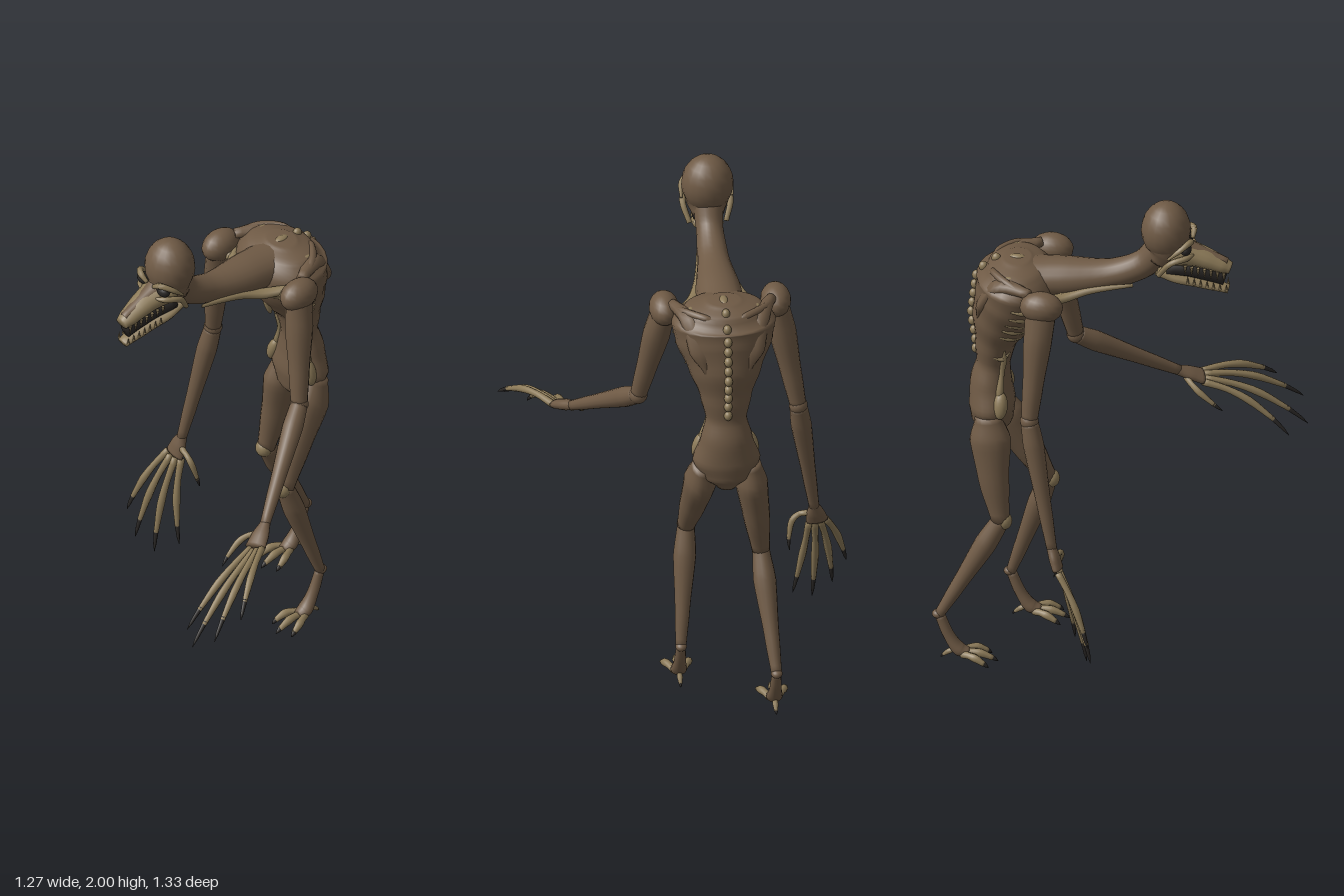
import * as THREE from 'three';

const CX = -0.133; // body centre line

export function createModel() {
  const root = new THREE.Group();
  root.name = 'gauntCreature';
  const mat = (name, color) => {
    const m = new THREE.MeshStandardMaterial({ color });
    m.name = name;
    return m;
  };
  const skin = mat('brown skin', 0x6f5a45);
  const bone = mat('tan bone', 0x8c7a58);
  const dark = mat('dark claw', 0x2a2725);

  const add = (name, geo, m, parent = root) => {
    const mesh = new THREE.Mesh(geo, m);
    mesh.name = name;
    parent.add(mesh);
    return mesh;
  };

  // Closed loft through sections [x, y, z, halfWidth, halfDepth]
  function loft(sections, sides = 14, steps = 5) {
    const curve = new THREE.CatmullRomCurve3(sections.map((s) => new THREE.Vector3(s[0], s[1], s[2])));
    const n = (sections.length - 1) * steps;
    const pos = [], idx = [];
    const side = new THREE.Vector3(), up = new THREE.Vector3(), v = new THREE.Vector3();
    for (let k = -1; k <= n + 1; k++) {
      const i = Math.min(Math.max(k, 0), n);
      const u = i / n, c = curve.getPoint(u), t = curve.getTangent(u);
      const f = u * (sections.length - 1), a = Math.min(Math.floor(f), sections.length - 2);
      const e = f - a, s = e * e * (3 - 2 * e) * 0.5 + e * 0.5;
      const size = (q) => {
        const p = sections[a], r = sections[a + 1];
        const p0 = p[q] ?? p[3], r0 = r[q] ?? r[3];
        return k === i ? p0 + (r0 - p0) * s : 0.0001;
      };
      const w = size(3), d = size(4);
      side.set(1, 0, 0).addScaledVector(t, -t.x).normalize();
      up.crossVectors(t, side);
      for (let j = 0; j < sides; j++) {
        const g = (j / sides) * Math.PI * 2;
        v.copy(c).addScaledVector(side, Math.cos(g) * w).addScaledVector(up, Math.sin(g) * d);
        pos.push(v.x, v.y, v.z);
      }
    }
    for (let i = 0; i < n + 2; i++) for (let j = 0; j < sides; j++) {
      const a = i * sides + j, b = i * sides + ((j + 1) % sides);
      idx.push(a, b, a + sides, b, b + sides, a + sides);
    }
    const geo = new THREE.BufferGeometry();
    geo.setAttribute('position', new THREE.Float32BufferAttribute(pos, 3));
    geo.setIndex(idx);
    geo.computeVertexNormals();
    return geo;
  }
  const ball = (name, p, r, m, parent = root) => {
    const mesh = add(name, new THREE.SphereGeometry(1, 18, 12), m, parent);
    mesh.position.set(...p);
    mesh.scale.set(...r);
    return mesh;
  };

  // Torso and neck
  const torso = [
    [0.95, -0.47, 0.04, 0.05], [1.0, -0.465, 0.1, 0.08], [1.07, -0.465, 0.13, 0.088],
    [1.16, -0.47, 0.1, 0.08], [1.25, -0.46, 0.078, 0.065], [1.35, -0.45, 0.1, 0.08],
    [1.45, -0.425, 0.14, 0.12], [1.55, -0.39, 0.185, 0.145], [1.63, -0.37, 0.2, 0.155],
    [1.69, -0.37, 0.15, 0.11], [1.72, -0.37, 0.06, 0.05]];
  add('torso', loft(torso.map(([y, z, w, d]) => [CX, y, z, w, d]), 24), skin);
  add('neck', loft([[CX, 1.64, -0.42, 0.1, 0.07], [CX, 1.645, -0.2, 0.088, 0.075], [CX, 1.675, 0, 0.06, 0.055],
    [CX, 1.73, 0.12, 0.052, 0.055], [CX, 1.82, 0.19, 0.06, 0.06]], 20), skin);

  // Point on the torso surface; angle 0 is the front, PI the back
  function onTorso(y, ang, k = 1) {
    let i = 0;
    while (i < torso.length - 2 && torso[i + 1][0] < y) i++;
    const a = torso[i], b = torso[i + 1], f = (y - a[0]) / (b[0] - a[0]);
    const [z, w, d] = [1, 2, 3].map((q) => a[q] + (b[q] - a[q]) * f);
    return [CX + w * Math.sin(ang) * k, y, z + d * Math.cos(ang) * k];
  }

  // Spine knobs
  for (let i = 0; i < 11; i++) {
    const y = 1.705 - i * 0.041;
    ball('spineKnob', onTorso(y, Math.PI), [0.016, 0.02, 0.018], bone);
  }
  ball('spineKnob', [CX, 1.713, -0.37], [0.018, 0.014, 0.032], bone);
  ball('sternum', [CX, 1.46, -0.295], [0.017, 0.075, 0.015], bone).rotation.x = 0.25;

  for (const s of [-1, 1]) {
    // Ribs, waist cords and hip bones
    for (let i = 0; i < 5; i++) {
      const pts = [];
      for (let k = 0; k < 5; k++) {
        const r = k === 0 || k === 4 ? 0.004 : 0.011;
        pts.push([...onTorso(1.535 - i * 0.038 + k * 0.012, s * (0.16 + k * 0.33), 1.01), r, r]);
      }
      add('rib', loft(pts, 8), bone);
    }
    add('waistCord', loft([1.34, 1.29, 1.23, 1.16, 1.09].map((y, i) =>
      [...onTorso(y, s * (1.0 - 0.1 * Math.sin(i)), 1), [0.004, 0.013, 0.01, 0.016, 0.006][i]]), 8), bone);
    add('shortRib', loft([[...onTorso(1.32, s * 0.6), 0.004], [...onTorso(1.3, s * 1, 1.02), 0.01],
      [...onTorso(1.31, s * 1.5), 0.004]], 8), bone);
    ball('hipBone', onTorso(1.105, s * 1.0), [0.026, 0.055, 0.028], bone).rotation.z = s * 0.3;
    // Collar bones and neck tendons
    add('collarBone', loft([[CX + s * 0.02, 1.555, -0.235, 0.01], [CX + s * 0.09, 1.575, -0.235, 0.014],
      [CX + s * 0.19, 1.63, -0.25, 0.018]], 8), bone);
    add('neckTendon', loft([[CX + s * 0.05, 1.655, 0.08, 0.005, 0.008], [CX + s * 0.068, 1.63, -0.08, 0.014],
      [CX + s * 0.1, 1.605, -0.19, 0.025, 0.018], [CX + s * 0.18, 1.625, -0.3, 0.015]], 8), bone);
    // Shoulder blades
    add('shoulderBlade', loft([[CX + s * 0.19, 1.67, -0.3, 0.02], [CX + s * 0.13, 1.66, -0.42, 0.04, 0.03],
      [CX + s * 0.1, 1.57, -0.49, 0.045, 0.02], [CX + s * 0.08, 1.48, -0.51, 0.008]], 10), skin);
    add('bladeRidge', loft([[CX + s * 0.03, 1.68, -0.465, 0.005], [CX + s * 0.08, 1.69, -0.45, 0.014],
      [CX + s * 0.15, 1.685, -0.39, 0.016], [CX + s * 0.2, 1.66, -0.3, 0.012]], 8), skin);
    ball('bladeTip', [CX + s * 0.125, 1.69, -0.385], [0.012, 0.01, 0.024], bone);
  }

  // Head
  const head = new THREE.Group();
  head.name = 'head';
  root.add(head);
  ball('cranium', [CX, 1.885, 0.2], [0.1, 0.116, 0.095], skin, head);
  add('skullBase', loft([[CX, 1.76, 0.17, 0.06, 0.06], [CX, 1.81, 0.2, 0.083, 0.085], [CX, 1.88, 0.2, 0.095, 0.09]], 18), skin, head);
  add('snout', loft([[CX, 1.8, 0.23, 0.078, 0.055], [CX, 1.777, 0.33, 0.053, 0.04], [CX, 1.747, 0.41, 0.04, 0.031],
    [CX, 1.732, 0.447, 0.028, 0.022]], 14), bone, head);
  add('snoutRidge', loft([[CX, 1.84, 0.25, 0.04, 0.02], [CX, 1.803, 0.33, 0.027, 0.018], [CX, 1.762, 0.435, 0.017, 0.012]], 10), skin, head);
  add('mouth', loft([[CX, 1.735, 0.21, 0.058, 0.035], [CX, 1.72, 0.33, 0.038, 0.04], [CX, 1.69, 0.428, 0.022, 0.035]], 12), dark, head);
  add('lowerJaw', loft([[CX, 1.72, 0.17, 0.06, 0.025], [CX, 1.692, 0.24, 0.06, 0.024], [CX, 1.665, 0.34, 0.042, 0.02],
    [CX, 1.638, 0.44, 0.026, 0.014]], 14), bone, head);
  for (const s of [-1, 1]) {
    ball('eye', [CX + s * 0.056, 1.838, 0.283], [0.03, 0.024, 0.022], dark, head);
    add('brow', loft([[CX + s * 0.018, 1.845, 0.3, 0.008], [CX + s * 0.055, 1.868, 0.3, 0.013],
      [CX + s * 0.092, 1.85, 0.265, 0.011], [CX + s * 0.098, 1.81, 0.22, 0.005]], 8), bone, head);
    add('cheekBone', loft([[CX + s * 0.04, 1.805, 0.31, 0.006], [CX + s * 0.073, 1.805, 0.285, 0.012],
      [CX + s * 0.092, 1.79, 0.23, 0.012], [CX + s * 0.07, 1.72, 0.18, 0.01]], 8), bone, head);
    ball('nostril', [CX + s * 0.016, 1.742, 0.443], [0.007, 0.006, 0.006], dark, head);
    // Teeth, upper and lower
    for (let i = 0; i < 7; i++) {
      const f = i / 6, z = 0.28 + 0.145 * f, x = CX + s * (0.05 - 0.024 * f);
      const up = add('upperTooth', new THREE.ConeGeometry(0.007, 0.04, 6), bone, head);
      up.position.set(x, 1.737 - 0.032 * f, z);
      up.rotation.x = Math.PI;
      add('lowerTooth', new THREE.ConeGeometry(0.006, 0.032, 6), bone, head).position.set(x, 1.697 - 0.038 * f, z + 0.01);
    }
  }

  // Finger or toe: bowed digit ending in a dark claw
  function digit(name, base, tip, bow, r, parent, clawAt = 0.8) {
    const at = (f) => base.map((b, i) => b + (tip[i] - b) * f + bow[i] * 4 * f * (1 - f));
    add(name, loft([0, 0.25, 0.5, clawAt].map((f, i) => [...at(f), r * [0.9, 0.8, 0.95, 0.6][i]]), 8, 4), bone, parent);
    add(name + 'Claw', loft([[...at(clawAt - 0.03), r * 0.6], [...at(0.92), r * 0.4], [...at(1), 0.001]], 8, 3), dark, parent);
  }

  // Arms
  const arms = [
    { name: 'rightArm', sh: [-0.345, 1.63, -0.25], el: [-0.427, 1.17, -0.285], wr: [-0.498, 0.65, -0.19],
      palm: [-0.512, 0.57, -0.165], bow: [-0.008, 0.01, 0.012],
      bases: [[-0.545, 0.57, -0.16], [-0.525, 0.56, -0.155], [-0.503, 0.555, -0.16], [-0.48, 0.56, -0.17]],
      tips: [[-0.637, 0.3, -0.035], [-0.585, 0.2, -0.03], [-0.505, 0.16, -0.055], [-0.425, 0.215, -0.11]],
      thumb: [[-0.49, 0.61, -0.175], [-0.404, 0.46, -0.195], [0.03, 0.04, 0.02]] },
    { name: 'leftArm', sh: [0.083, 1.63, -0.265], el: [0.173, 1.195, -0.185], wr: [0.385, 0.93, 0.18],
      palm: [0.425, 0.885, 0.265], bow: [0.006, 0.035, 0.01],
      bases: [[0.45, 0.89, 0.255], [0.442, 0.885, 0.27], [0.426, 0.875, 0.275], [0.405, 0.872, 0.27]],
      tips: [[0.632, 0.79, 0.525], [0.598, 0.72, 0.63], [0.505, 0.655, 0.66], [0.41, 0.655, 0.6]],
      thumb: [[0.385, 0.9, 0.21], [0.337, 0.79, 0.355], [-0.025, 0.02, -0.015]] }];
  for (const a of arms) {
    const g = new THREE.Group();
    g.name = a.name;
    root.add(g);
    const mix = (p, q, f) => p.map((v, i) => v + (q[i] - v) * f);
    ball('shoulder', a.sh, [0.058, 0.062, 0.083], skin, g);
    add('upperArm', loft([[...a.sh, 0.045, 0.06], [...mix(a.sh, a.el, 0.3), 0.053, 0.055],
      [...mix(a.sh, a.el, 0.7), 0.04], [...a.el, 0.032]]), skin, g);
    ball('elbow', a.el, [0.036, 0.036, 0.036], skin, g);
    add('forearm', loft([[...a.el, 0.034], [...mix(a.el, a.wr, 0.2), 0.04], [...mix(a.el, a.wr, 0.7), 0.027],
      [...a.wr, 0.02]]), skin, g);
    add('palm', loft([[...mix(a.wr, a.palm, -0.1), 0.019], [...mix(a.wr, a.palm, 0.5), 0.036, 0.022], [...a.palm, 0.043, 0.02]]), skin, g);
    a.bases.forEach((b, i) => digit('finger', b, a.tips[i], a.bow, 0.016, g));
    digit('thumb', ...a.thumb, 0.014, g, 0.85);
  }

  // Legs
  const legs = [
    { name: 'rightLeg', thigh: [[-0.222, 1.05, -0.47], [-0.23, 0.95, -0.46], [-0.25, 0.79, -0.445]],
      knee: [-0.27, 0.615, -0.415], ankle: [-0.305, 0.2, -0.645] },
    { name: 'leftLeg', thigh: [[-0.044, 1.05, -0.47], [-0.036, 0.95, -0.43], [-0.02, 0.8, -0.345]],
      knee: [0, 0.65, -0.268], ankle: [0.035, 0.2, -0.415] }];
  for (const l of legs) {
    const g = new THREE.Group();
    g.name = l.name;
    root.add(g);
    const [kx, ky, kz] = l.knee, [ax, ay, az] = l.ankle;
    const mix = (f) => l.knee.map((v, i) => v + (l.ankle[i] - v) * f);
    add('thigh', loft([[...l.thigh[0], 0.04, 0.05], [...l.thigh[1], 0.062, 0.08], [...l.thigh[2], 0.052, 0.06],
      [kx, ky, kz, 0.035, 0.036]], 16), skin, g);
    ball('kneeCap', [kx, ky, kz + 0.012], [0.034, 0.036, 0.032], bone, g);
    add('shin', loft([[...mix(-0.02), 0.033, 0.035], [...mix(0.25), 0.044, 0.043], [...mix(0.7), 0.029],
      [...mix(1), 0.021, 0.02]]), skin, g);
    ball('heel', [ax, ay, az - 0.005], [0.022, 0.018, 0.024], skin, g);
    add('foot', loft([[ax, ay, az, 0.018, 0.02], [ax, 0.11, az + 0.035, 0.023, 0.022], [ax, 0.05, az + 0.075, 0.032, 0.026],
      [ax, 0.035, az + 0.11, 0.026, 0.018]]), skin, g);
    for (const s of [-1, 0, 1]) {
      digit('toe', [ax + s * 0.016, 0.035, az + 0.09], [ax + s * 0.054, 0.006, az + 0.225 - Math.abs(s) * 0.03],
        [s * 0.008, 0.016, 0], 0.017, g, 0.85);
    }
    digit('backToe', [ax, 0.045, az + 0.07], [ax, 0.008, az + 0.005], [0, 0.01, 0], 0.012, g, 0.85);
  }
  return root;
}
